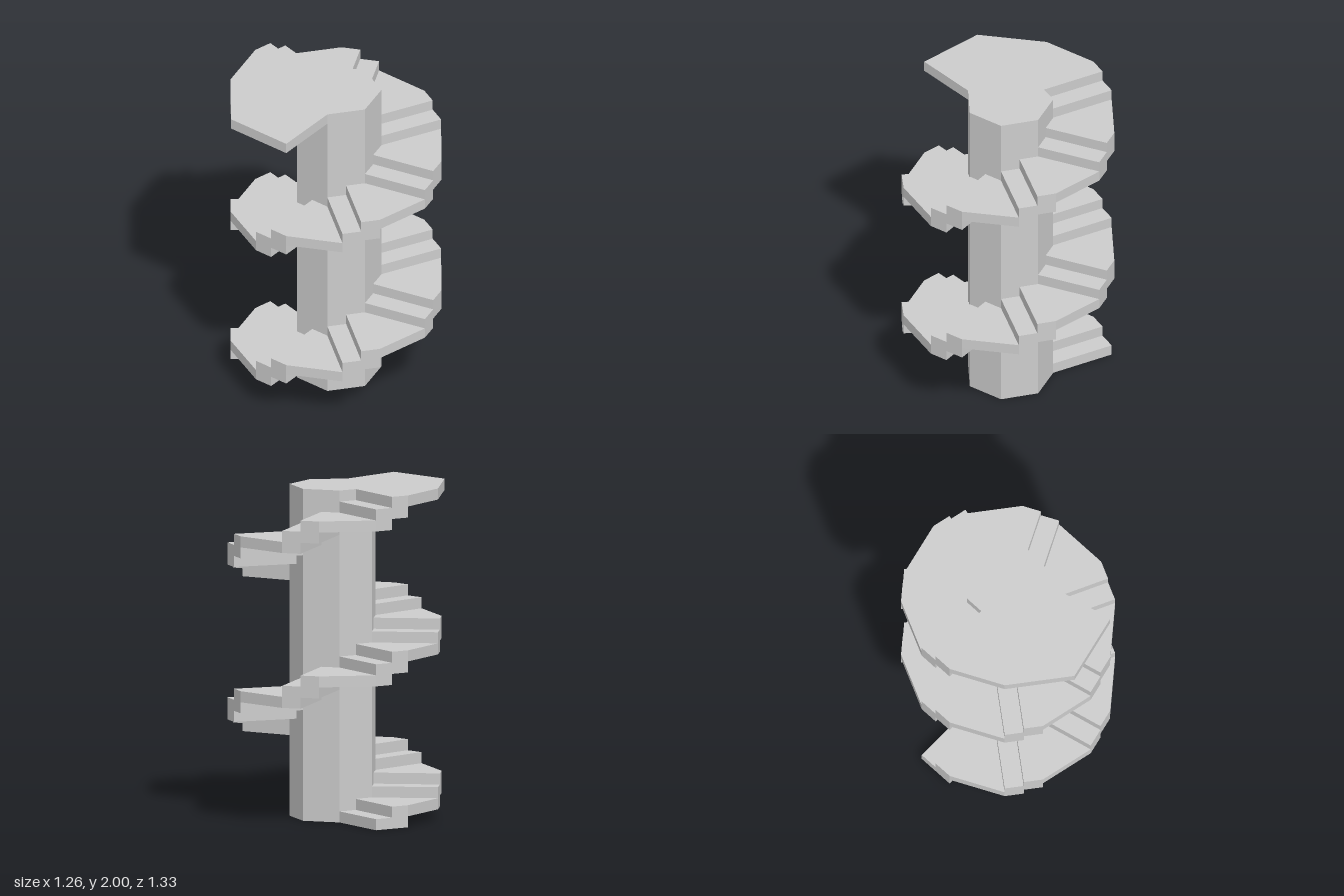
import * as THREE from 'three';

const SIDES = 7, STEPS = 29, RISE = 2 / 30;
const TURN = (Math.PI * 2) / SIDES;
const R = 0.265;                          // column corner radius
const IN = R * Math.cos(Math.PI / SIDES); // column face distance
const HALF = R * Math.sin(Math.PI / SIDES); // half a column face
const OUT = 0.635;                        // outer edge distance
const CORNER = OUT * Math.tan(Math.PI / SIDES);

// plan point on column side m: distance from the axis, offset along the side
function pt(m, dist, along) {
  const a = Math.PI + m * TURN;
  return new THREE.Vector2(
    dist * Math.cos(a) - along * Math.sin(a),
    dist * Math.sin(a) + along * Math.cos(a));
}

export function createModel() {
  const group = new THREE.Group();
  const material = new THREE.MeshStandardMaterial({ color: 0xcccccc, flatShading: true });

  function slab(name, points, y, height) {
    const geo = new THREE.ExtrudeGeometry(new THREE.Shape(points), { depth: height, bevelEnabled: false });
    geo.rotateX(-Math.PI / 2);
    const mesh = new THREE.Mesh(geo, material);
    mesh.name = name;
    mesh.position.set(0.005, y, -0.025);
    group.add(mesh);
  }

  // seven-sided central column
  slab('column', Array.from({ length: SIDES }, (_, m) => pt(m, IN, HALF)), 0, 2);

  // steps alternate: straight off a side, then winding around a corner
  for (let k = 0; k < STEPS; k++) {
    const m = Math.floor(k / 2);
    const plan = k % 2 === 0
      ? [pt(m, IN, -HALF), pt(m, OUT, -HALF), pt(m, OUT, HALF), pt(m, IN, HALF)]
      : [pt(m, IN, 0), pt(m, OUT, 0), pt(m, OUT, HALF),
        pt(m + 1, OUT, -HALF), pt(m + 1, OUT, 0), pt(m + 1, IN, 0), pt(m, IN, HALF)];
    slab(k % 2 === 0 ? 'straightStep' : 'windingStep', plan, k * RISE, RISE);
  }

  // wide landing level with the column top
  slab('landing', [
    pt(0, IN, 0), pt(0, OUT, 0), pt(0, OUT, HALF), pt(1, OUT, -HALF), pt(1, OUT, CORNER),
    pt(2, OUT, HALF), pt(2, IN, HALF), pt(1, IN, HALF), pt(0, IN, HALF),
  ], STEPS * RISE, RISE);

  return group;
}
